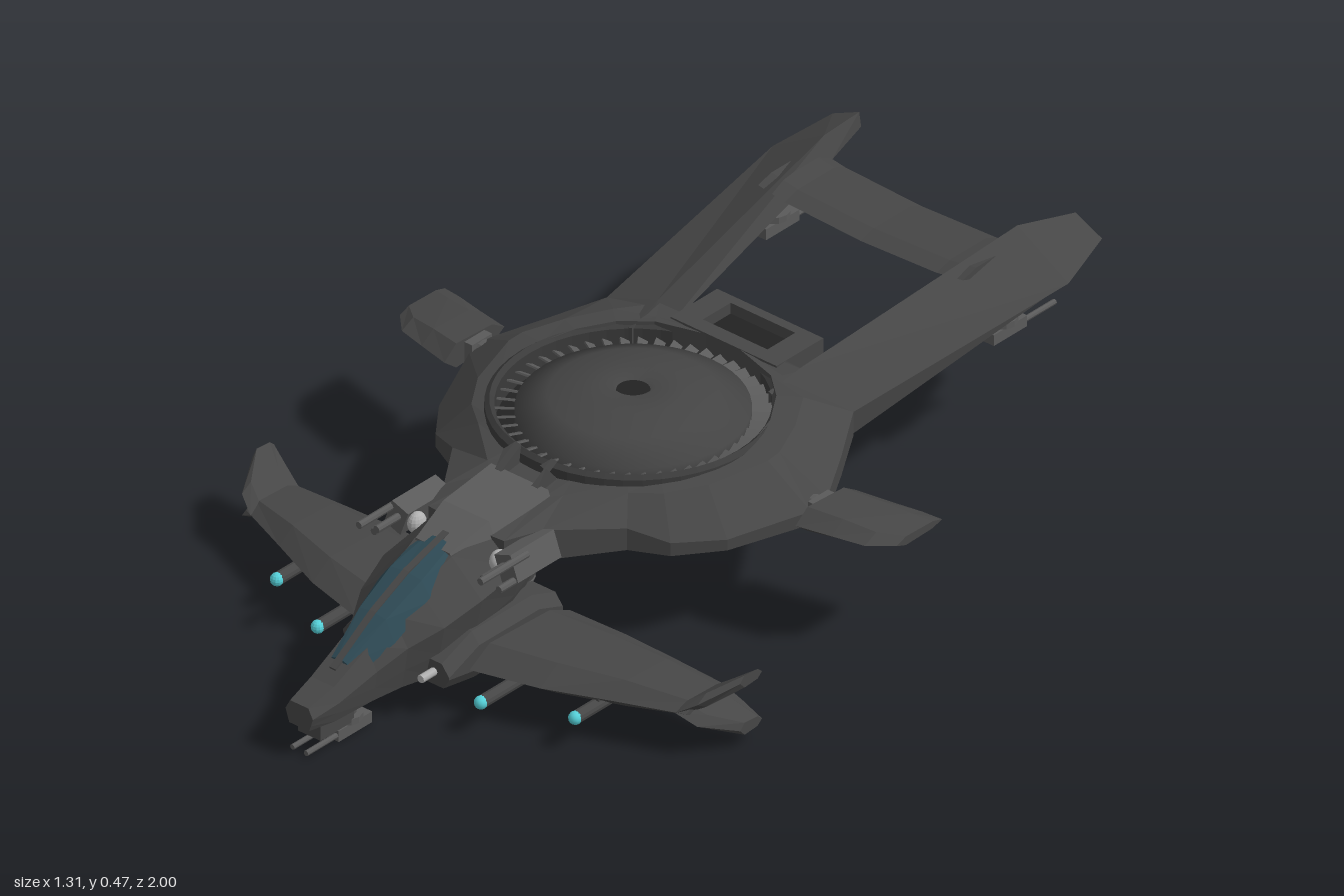
import * as THREE from 'three';
import { mergeGeometries } from 'three/addons/utils/BufferGeometryUtils.js';

const mat = (color, flat = true) => new THREE.MeshStandardMaterial({ color, flatShading: flat });

// Skin a list of equal-length point rings; winding is corrected from the enclosed volume.
function loft(rings, { caps = true, loop = false } = {}) {
  const tris = [], n = rings[0].length;
  const last = loop ? rings.length : rings.length - 1;
  for (let i = 0; i < last; i++) {
    const a = rings[i], b = rings[(i + 1) % rings.length];
    for (let j = 0; j < n; j++) {
      const k = (j + 1) % n;
      tris.push([a[j], b[j], b[k]], [a[j], b[k], a[k]]);
    }
  }
  if (caps && !loop) {
    const a = rings[0], b = rings[rings.length - 1];
    for (let j = 1; j < n - 1; j++) tris.push([a[0], a[j], a[j + 1]], [b[0], b[j + 1], b[j]]);
  }
  let vol = 0;
  for (const [p, q, r] of tris) {
    vol += p[0] * (q[1] * r[2] - q[2] * r[1]) - p[1] * (q[0] * r[2] - q[2] * r[0]) + p[2] * (q[0] * r[1] - q[1] * r[0]);
  }
  const flat = tris.flatMap(([p, q, r]) => (vol < 0 ? [p, r, q] : [p, q, r])).flat();
  const g = new THREE.BufferGeometry();
  g.setAttribute('position', new THREE.Float32BufferAttribute(flat, 3));
  g.computeVertexNormals();
  return g;
}

// Copy of a geometry reflected across x = 0
function mirrored(geo) {
  const g = geo.index ? geo.toNonIndexed() : geo.clone();
  g.scale(-1, 1, 1);
  const p = g.attributes.position;
  const a = new THREE.Vector3(), b = new THREE.Vector3();
  for (let i = 0; i < p.count; i += 3) {
    a.fromBufferAttribute(p, i + 1);
    b.fromBufferAttribute(p, i + 2);
    p.setXYZ(i + 1, b.x, b.y, b.z);
    p.setXYZ(i + 2, a.x, a.y, a.z);
  }
  g.computeVertexNormals();
  return g;
}

const box = (w, h, d, x, y, z) => new THREE.BoxGeometry(w, h, d).translate(x, y, z);
const rodZ = (r, z0, z1, x, y, n = 10) =>
  new THREE.CylinderGeometry(r, r, z1 - z0, n).rotateX(Math.PI / 2).translate(x, y, (z0 + z1) / 2);
const post = (r0, r1, h, x, y, z, n = 12) => new THREE.CylinderGeometry(r1, r0, h, n).translate(x, y, z);

// Six-sided aerofoil section at x, from trailing z0 to leading z1
function foil(x, z0, z1, y, t) {
  const c = z1 - z0;
  return [[x, y, z1], [x, y + t, z1 - 0.2 * c], [x, y + t * 0.8, z0 + 0.2 * c],
    [x, y, z0], [x, y - t * 0.8, z0 + 0.2 * c], [x, y - t, z1 - 0.2 * c]];
}

// Eight-sided fuselage section
function bodySection([z, wTop, w, wLow, low, mid, top]) {
  const m2 = low + (mid - low) * 0.45;
  return [[wTop, top, z], [w, mid, z], [(w + wLow) / 2, m2, z], [wLow, low, z],
    [-wLow, low, z], [-(w + wLow) / 2, m2, z], [-w, mid, z], [-wTop, top, z]];
}

// Twin-barrel gun hanging from a post; dir = 1 fires forward, -1 backward
function gun(x, y, z, dir, hang) {
  return mergeGeometries([
    post(0.018, 0.03, hang, x, y + 0.015 + hang / 2, z),
    post(0.035, 0.035, 0.014, x, y + 0.02, z),
    box(0.05, 0.025, 0.1, x, y, z),
    ...[-0.018, 0.018].map((dx) => rodZ(0.006, Math.min(z, z + dir * 0.14), Math.max(z, z + dir * 0.14), x + dx, y, 8)),
  ]);
}

export function createModel() {
  const model = new THREE.Group();
  const hullMat = mat(0x464646), darkMat = mat(0x222222), smoothMat = mat(0x444444, false);
  const metalMat = mat(0x5a5a5a), glassMat = mat(0x2e4a55), lightMat = mat(0xb0b0b0, false), cyanMat = mat(0x55d0d8, false);
  smoothMat.side = THREE.DoubleSide;
  const add = (name, geo, m = hullMat) => {
    const mesh = new THREE.Mesh(geo, m);
    mesh.name = name;
    model.add(mesh);
    return mesh;
  };
  const both = (name, geo, m = hullMat) => {
    add(name + 'Left', geo, m);
    add(name + 'Right', mirrored(geo), m);
  };

  // Main hull: faceted rim around a round opening; x, z, low y, high y
  const half = [[0.1, 0.5, 0.24, 0.31], [0.13, 0.42, 0.24, 0.31], [0.23, 0.28, 0.24, 0.29], [0.31, 0.24, 0.24, 0.27],
    [0.38, 0.15, 0.24, 0.265], [0.45, -0.02, 0.25, 0.28], [0.45, -0.07, 0.25, 0.29], [0.39, -0.18, 0.265, 0.31],
    [0.325, -0.29, 0.28, 0.335], [0.19, -0.295, 0.28, 0.375]];
  const rim = [[0, 0.52, 0.24, 0.32], ...half, [0, -0.3, 0.28, 0.375],
    ...half.slice().reverse().map(([x, ...r]) => [-x, ...r])];
  const hullRing = (pick) => rim.map(([x, z, lo, hi]) => {
    const k = 0.283 / Math.hypot(x, z);
    const [t, y] = pick(lo, hi, z);
    const s = 1 + (k - 1) * t;
    return [x * s, y, z * s];
  });
  add('hull', loft([
    hullRing((lo) => [1, lo - 0.005]), hullRing((lo) => [0, lo]), hullRing((lo, hi) => [0, hi]),
    hullRing((lo, hi, z) => [0.65, 0.355 - 0.05 * z]), hullRing((lo, hi, z) => [1, 0.362 - 0.04 * z]),
  ], { loop: true }));

  // Fan: rim, central dome and radial blades
  const lathe = (pts) => new THREE.LatheGeometry(pts.map((p) => new THREE.Vector2(...p)), 48);
  add('fanRim', lathe([[0.275, 0.245], [0.3, 0.245], [0.295, 0.36], [0.285, 0.368], [0.275, 0.36], [0.275, 0.245]]), mat(0x3a3a3a));
  add('fanFloor', lathe([[0.22, 0.295], [0.28, 0.295], [0.28, 0.305], [0.22, 0.305]]), darkMat).material.side = THREE.DoubleSide;
  add('dome', lathe([[0, 0.385], [0.035, 0.385], [0.04, 0.4], [0.1, 0.395], [0.17, 0.38], [0.235, 0.35],
    [0.235, 0.27], [0.15, 0.25], [0, 0.245]]), smoothMat);
  add('domeCap', post(0.034, 0.034, 0.006, 0, 0.387, 0, 24), darkMat);
  const blades = [];
  for (let i = 0; i < 48; i++) {
    for (const y of [0.335, 0.268]) {
      blades.push(box(0.045, 0.004, 0.022, 0, 0, 0).rotateX(0.5).translate(0.255, y, 0).rotateY((i / 48) * Math.PI * 2));
    }
  }
  add('fanBlades', mergeGeometries(blades), metalMat);

  // Forward fuselage: z, top half-width, widest, low half-width, low y, mid y, top y
  add('fuselage', loft([
    [1.0, 0.024, 0.036, 0.026, 0.07, 0.1, 0.122], [0.93, 0.03, 0.044, 0.035, 0.065, 0.11, 0.142],
    [0.83, 0.032, 0.055, 0.045, 0.07, 0.14, 0.19], [0.76, 0.035, 0.075, 0.06, 0.075, 0.17, 0.23],
    [0.69, 0.04, 0.11, 0.085, 0.08, 0.2, 0.265], [0.6, 0.05, 0.13, 0.095, 0.09, 0.23, 0.3],
    [0.48, 0.065, 0.13, 0.09, 0.12, 0.25, 0.322], [0.32, 0.06, 0.11, 0.06, 0.2, 0.27, 0.335],
  ].map(bodySection)));
  both('canopyPane', loft([[0.88, 0.006, 0.172, 0.034, 0.135], [0.78, 0.008, 0.235, 0.058, 0.185],
    [0.68, 0.008, 0.282, 0.068, 0.243], [0.58, 0.008, 0.314, 0.05, 0.302]].map(([z, x0, y0, x1, y1]) =>
    [[x0, y0, z], [x1 * 0.6, y0 - 0.004, z], [x1, y1, z], [x0, y1 - 0.02, z]])), glassMat);
  add('canopySpine', loft([[0.9, 0.16], [0.78, 0.237], [0.68, 0.285], [0.56, 0.32]].map(([z, y]) =>
    [[-0.008, y, z], [0.008, y, z], [0.008, y - 0.03, z], [-0.008, y - 0.03, z]])));
  add('roofHousing', loft([[0.34, 0.075, 0.345], [0.5, 0.06, 0.34], [0.6, 0.045, 0.305]].map(([z, w, y]) =>
    [[w, y, z], [w + 0.02, y - 0.05, z], [-w - 0.02, y - 0.05, z], [-w, y, z]])), metalMat);
  both('roofFin', loft([[0.32, 0.36, 0.29], [0.345, 0.35, 0.295], [0.38, 0.29, 0.325]].map(([y, a, b]) =>
    [[0.04, y, a], [0.056, y, a], [0.056, y, b], [0.04, y, b]])));
  add('chinSensor', box(0.06, 0.05, 0.1, 0, 0.06, 0.92));
  add('noseGun', gun(0, 0.015, 0.86, 1, 0.05), metalMat);

  // Underside keel with its round mount
  add('keel', loft([[0.4, 0.035, 0.17], [0.31, 0.05, 0.147], [0.17, 0.055, 0.16], [0.02, 0.05, 0.19], [-0.04, 0.04, 0.238]].map(([z, w, y]) =>
    [[w, 0.25, z], [w, y + 0.02 * (0.25 - y) / 0.1, z], [w * 0.6, y, z], [-w * 0.6, y, z], [-w, y + 0.02 * (0.25 - y) / 0.1, z], [-w, 0.25, z]])));
  add('keelMount', post(0.05, 0.06, 0.1, 0, 0.18, 0.37, 20));
  add('keelMountRing', new THREE.TorusGeometry(0.042, 0.01, 8, 20).rotateX(Math.PI / 2).translate(0, 0.13, 0.37), metalMat);

  // Stub wings with split tips, root blocks and pods
  both('wingRoot', loft([[0.37, 0.07, 0.14], [0.44, 0.06, 0.165], [0.62, 0.06, 0.165], [0.71, 0.075, 0.13]].map(([z, a, b]) =>
    [[0.06, a, z], [0.125, a, z], [0.14, a + 0.025, z], [0.14, b - 0.025, z], [0.12, b, z], [0.06, b, z]])));
  both('wingJoint', new THREE.CylinderGeometry(0.022, 0.022, 0.06, 10).rotateZ(Math.PI / 2).translate(0.145, 0.105, 0.52), metalMat);
  both('wing', loft([foil(0.15, 0.36, 0.66, 0.105, 0.035), foil(0.3, 0.355, 0.62, 0.105, 0.035),
    foil(0.44, 0.36, 0.56, 0.105, 0.03), foil(0.58, 0.365, 0.5, 0.103, 0.016)]));
  for (const s of [1, -1]) {
    both(s > 0 ? 'upperTipFin' : 'lowerTipFin', loft([foil(0.56, 0.365, 0.51, 0.103, 0.014),
      foil(0.6, 0.355, 0.49, 0.103 + s * 0.025, 0.016), foil(0.643, 0.345, 0.41, 0.103 + s * 0.055, 0.014)]));
  }
  for (const [x, z0, z1] of [[0.215, 0.48, 0.7], [0.393, 0.44, 0.62]]) {
    both('pod', mergeGeometries([rodZ(0.014, z0, z1, x, 0.075, 12), box(0.016, 0.03, 0.1, x, 0.095, z0 + 0.07)]));
    both('podTip', new THREE.SphereGeometry(0.0145, 12, 8).translate(x, 0.075, z1), cyanMat);
  }

  // Shoulder cannons and lamps beside the cockpit
  both('shoulderCannon', mergeGeometries([
    box(0.045, 0.06, 0.13, 0, 0, 0).rotateZ(0.35).translate(0.145, 0.285, 0.48),
    rodZ(0.008, 0.5, 0.64, 0.16, 0.305, 8), rodZ(0.008, 0.5, 0.61, 0.14, 0.29, 8), rodZ(0.008, 0.5, 0.59, 0.165, 0.265, 8),
  ]), metalMat);
  both('shoulderLamp', new THREE.SphereGeometry(0.022, 14, 10).scale(0.8, 1.1, 1).translate(0.108, 0.28, 0.525), lightMat);
  both('sideGun', rodZ(0.009, 0.6, 0.75, 0.1, 0.105, 8), lightMat);

  // Side winglets on pivots
  both('wingletPivot', mergeGeometries([
    new THREE.CylinderGeometry(0.024, 0.024, 0.08, 12).rotateZ(Math.PI / 2).translate(0.43, 0.275, -0.05),
    box(0.025, 0.045, 0.06, 0.455, 0.278, -0.05)]), metalMat);
  both('winglet', loft([foil(0.463, -0.14, 0.04, 0.28, 0.028), foil(0.54, -0.155, 0.02, 0.278, 0.024),
    foil(0.61, -0.172, 0, 0.275, 0.016), foil(0.655, -0.18, -0.045, 0.272, 0.01)]));

  // Tail booms, crossbar and rear guns
  both('tailBoom', loft([
    [-0.2, [0.18, 0.365], [0.33, 0.315], [0.32, 0.265], [0.18, 0.28]],
    [-0.29, [0.19, 0.385], [0.325, 0.335], [0.32, 0.28], [0.185, 0.3]],
    [-0.86, [0.255, 0.475], [0.39, 0.395], [0.365, 0.375], [0.235, 0.425]],
    [-1, [0.285, 0.452], [0.355, 0.42], [0.345, 0.408], [0.28, 0.42]],
  ].map(([z, ...c]) => c.map(([x, y]) => [x, y, z]))));
  add('crossbar', loft([[-0.27, 0.435], [-0.2, 0.424], [0, 0.416], [0.2, 0.424], [0.27, 0.435]].map(([x, y]) =>
    [[x, y + 0.002, -0.68], [x, y + 0.013, -0.72], [x, y + 0.013, -0.83], [x, y, -0.86], [x, y - 0.013, -0.82], [x, y - 0.013, -0.72]])));
  both('rearGun', gun(0.3, 0.305, -0.76, -1, 0.08), metalMat);

  // Rear intake: open frame with a dark grille
  const frame = new THREE.Shape([[-0.14, 0.27], [0.14, 0.27], [0.14, 0.41], [-0.14, 0.41]].map((p) => new THREE.Vector2(...p)));
  frame.holes.push(new THREE.Path([[-0.085, 0.305], [-0.085, 0.388], [0.085, 0.388], [0.085, 0.305]].map((p) => new THREE.Vector2(...p))));
  add('intakeFrame', new THREE.ExtrudeGeometry(frame, { depth: 0.08, bevelEnabled: false }).rotateX(-Math.PI / 2).translate(0, 0.295, 0));
  add('intakeGrille', box(0.18, 0.02, 0.09, 0, 0.34, -0.346), darkMat);
  add('intakeDivider', box(0.014, 0.03, 0.09, 0, 0.312, -0.346));
  return model;
}
